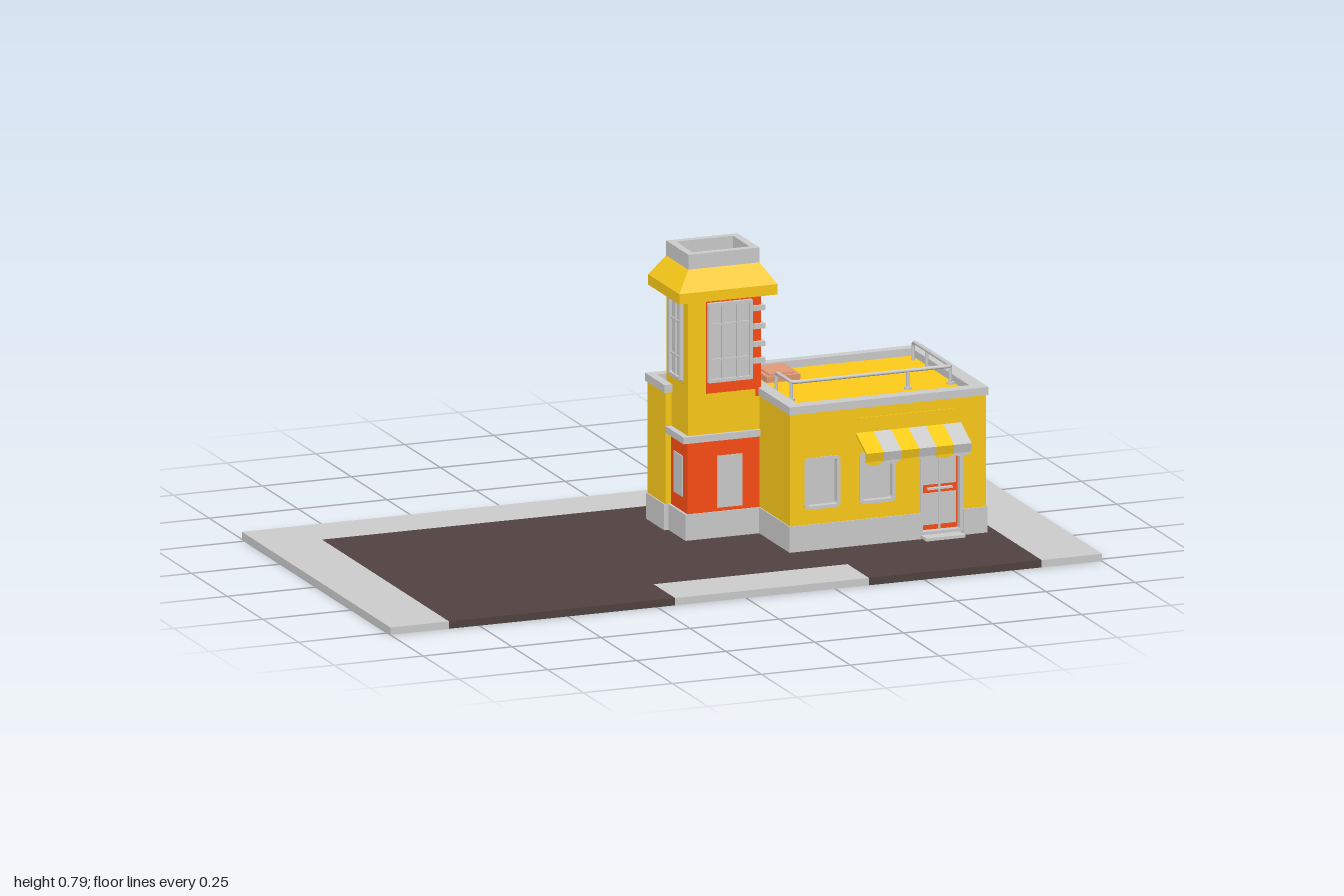
import * as THREE from 'three';

const mat = (color) => new THREE.MeshStandardMaterial({ color, side: THREE.DoubleSide });
const GREY = mat(0xcccccc), YELLOW = mat(0xfccb18), RED = mat(0xfc4d14), ASPHALT = mat(0x504240), PEACH = mat(0xe09a78);

export function createModel() {
  const model = new THREE.Group();

  const add = (name, geometry, material, parent = model) => {
    const mesh = new THREE.Mesh(geometry, material);
    mesh.name = name;
    parent.add(mesh);
    return mesh;
  };
  const group = (name) => {
    const g = new THREE.Group();
    g.name = name;
    model.add(g);
    return g;
  };
  // Box given by its limits on each axis
  const box = (name, x0, x1, y0, y1, z0, z1, material = GREY, parent = model) => {
    const g = new THREE.BoxGeometry(x1 - x0, y1 - y0, z1 - z0);
    g.translate((x0 + x1) / 2, (y0 + y1) / 2, (z0 + z1) / 2);
    return add(name, g, material, parent);
  };
  // Ground plan of [x, z] points raised from y0 to y1
  const plan = (name, points, y0, y1, material, hole) => {
    const flip = (list) => list.map(([x, z]) => new THREE.Vector2(x, -z));
    const shape = new THREE.Shape(flip(points));
    if (hole) shape.holes.push(new THREE.Path(flip(hole)));
    const g = new THREE.ExtrudeGeometry(shape, { depth: y1 - y0, bevelEnabled: false });
    g.rotateX(-Math.PI / 2).translate(0, y0, 0);
    return add(name, g, material);
  };
  // Rectangle outline with rounded corners
  const rounded = (target, x0, x1, y0, y1, r) => {
    target.moveTo(x0 + r, y0);
    target.lineTo(x1 - r, y0).quadraticCurveTo(x1, y0, x1, y0 + r);
    target.lineTo(x1, y1 - r).quadraticCurveTo(x1, y1, x1 - r, y1);
    target.lineTo(x0 + r, y1).quadraticCurveTo(x0, y1, x0, y1 - r);
    target.lineTo(x0, y0 + r).quadraticCurveTo(x0, y0, x0 + r, y0);
    return target;
  };
  const frame = (name, x0, x1, y0, y1, z0, depth, w, r, parent) => {
    const shape = rounded(new THREE.Shape(), x0, x1, y0, y1, r);
    shape.holes.push(rounded(new THREE.Path(), x0 + w, x1 - w, y0 + w, y1 - w, r * 0.6));
    const g = new THREE.ExtrudeGeometry(shape, { depth, bevelEnabled: false, curveSegments: 4 });
    return add(name, g.translate(0, 0, z0), GREY, parent);
  };

  // Ground: pavement, asphalt and front apron
  plan('pavement', [[-1, -0.52], [1, -0.52], [1, 0.52], [0.83, 0.52], [0.83, -0.37],
    [-0.835, -0.37], [-0.835, 0.52], [-1, 0.52]], 0, 0.02, GREY);
  const footprint = [[0.03, -0.253], [0.803, -0.253], [0.803, 0.208], [0.25, 0.208],
    [0.25, -0.005], [0.04, -0.005], [0.04, -0.125], [0.03, -0.125]];
  plan('asphalt', [[-0.835, -0.37], [0.83, -0.37], [0.83, 0.52], [0.345, 0.52], [0.345, 0.37],
    [-0.2, 0.37], [-0.2, 0.52], [-0.835, 0.52]], 0, 0.02, ASPHALT, footprint);
  box('apron', -0.2, 0.345, 0, 0.02, 0.37, 0.52);

  // Plinth, notched for the entrance
  plan('plinth', [[0.028, -0.253], [0.803, -0.253], [0.803, 0.208], [0.735, 0.208], [0.735, 0.18],
    [0.615, 0.18], [0.615, 0.208], [0.247, 0.208], [0.247, -0.005], [0.04, -0.005],
    [0.04, -0.125], [0.028, -0.125]], 0.001, 0.09, GREY);

  // Main walls and flat roof
  box('mainBody', 0.25, 0.8, 0, 0.393, -0.25, 0.185, YELLOW);
  box('sideBody', 0.032, 0.25, 0.02, 0.393, -0.25, -0.127, YELLOW);

  // Front wall with window openings and a doorway
  const windows = [0.29, 0.445];
  const wall = new THREE.Shape([[0.25, 0.09], [0.615, 0.09], [0.615, 0.265], [0.735, 0.265],
    [0.735, 0.09], [0.8, 0.09], [0.8, 0.393], [0.25, 0.393]].map(([x, y]) => new THREE.Vector2(x, y)));
  for (const x of windows) wall.holes.push(rounded(new THREE.Path(), x, x + 0.1, 0.13, 0.27, 0.012));
  add('frontWall', new THREE.ExtrudeGeometry(wall, { depth: 0.02, bevelEnabled: false, curveSegments: 4 })
    .translate(0, 0, 0.185), YELLOW);
  for (const x of windows) {
    const g = group('shopWindow');
    box('glass', x + 0.002, x + 0.098, 0.132, 0.268, 0.184, 0.19, GREY, g);
    frame('windowFrame', x, x + 0.1, 0.13, 0.27, 0.186, 0.021, 0.009, 0.012, g);
  }

  // Double door in its recess
  const door = group('entrance');
  box('doorLeaves', 0.615, 0.735, 0.03, 0.265, 0.178, 0.187, RED, door);
  frame('doorFrame', 0.615, 0.735, 0.03, 0.265, 0.183, 0.023, 0.008, 0.001, door);
  for (const x of [0.628, 0.678]) {
    box('upperGlass', x, x + 0.043, 0.16, 0.245, 0.186, 0.191, GREY, door);
    box('lowerGlass', x, x + 0.043, 0.052, 0.137, 0.186, 0.191, GREY, door);
  }
  box('doorSplit', 0.672, 0.677, 0.035, 0.26, 0.186, 0.193, GREY, door);
  box('doorHandle', 0.64, 0.71, 0.147, 0.152, 0.187, 0.198, GREY, door);
  box('doorStep', 0.62, 0.73, 0.01, 0.028, 0.18, 0.235, GREY, door);

  // Plain trim strip above the awning
  box('trimStrip', 0.44, 0.71, 0.358, 0.364, 0.2, 0.208, YELLOW);

  // Striped awning with a scalloped valance
  const awning = group('awning');
  const stripes = 6, width = 0.295 / stripes;
  const profile = new THREE.Shape([[0.203, 0.325], [0.28, 0.286], [0.274, 0.262], [0.269, 0.263],
    [0.273, 0.282], [0.203, 0.317]].map(([z, y]) => new THREE.Vector2(z, y)));
  for (let i = 0; i < stripes; i++) {
    const m = i % 2 ? GREY : YELLOW, x = 0.435 + i * width;
    add('awningStripe', new THREE.ExtrudeGeometry(profile, { depth: width, bevelEnabled: false })
      .rotateY(-Math.PI / 2).translate(x + width, 0, 0), m, awning);
    const scallop = new THREE.CylinderGeometry(width / 2, width / 2, 0.004, 16, 1, false, -Math.PI / 2, Math.PI);
    scallop.rotateX(Math.PI / 2).scale(1, 0.5, 1).translate(x + width / 2, 0.264, 0.272);
    add('scallop', scallop, m, awning);
  }

  // Parapet around the roof
  plan('parapet', [[0.027, -0.256], [0.805, -0.256], [0.805, 0.211], [0.246, 0.211], [0.246, -0.12], [0.027, -0.12]],
    0.392, 0.413, GREY,
    [[0.05, -0.228], [0.765, -0.228], [0.765, 0.175], [0.28, 0.175], [0.28, -0.15], [0.05, -0.15]]);

  // Roof hatch
  box('roofHatch', 0.31, 0.405, 0.39, 0.409, -0.225, -0.11, PEACH);
  box('hatchLid', 0.322, 0.393, 0.409, 0.413, -0.213, -0.122, PEACH);

  // Roof railing with bent ends and posts
  const rail = group('roofRailing');
  const path = new THREE.CurvePath();
  const corners = [[0.305, 0.393, -0.03], [0.305, 0.443, -0.03], [0.305, 0.443, 0.082],
    [0.752, 0.443, 0.082], [0.752, 0.443, -0.185], [0.752, 0.393, -0.185]].map((p) => new THREE.Vector3(...p));
  let last = corners[0];
  for (let i = 1; i < corners.length; i++) {
    const a = corners[i - 1], b = corners[i], c = corners[i + 1];
    const end = c ? b.clone().add(a.clone().sub(b).setLength(0.012)) : b;
    path.add(new THREE.LineCurve3(last, end));
    if (c) {
      last = b.clone().add(c.clone().sub(b).setLength(0.012));
      path.add(new THREE.QuadraticBezierCurve3(end, b, last));
    }
  }
  add('handrail', new THREE.TubeGeometry(path, 160, 0.005, 8), GREY, rail);
  for (const [x, z] of [[0.305, 0.075], [0.63, 0.082], [0.752, 0.075], [0.752, -0.09]]) {
    add('railPost', new THREE.CylinderGeometry(0.005, 0.005, 0.05, 8).translate(x, 0.418, z), GREY, rail);
    add('postFoot', new THREE.CylinderGeometry(0.01, 0.01, 0.006, 12).translate(x, 0.396, z), GREY, rail);
  }

  // Tower shaft with red cladding
  box('towerShaft', 0.05, 0.25, 0.02, 0.69, -0.165, -0.012, YELLOW);
  box('towerRedSide', 0.24, 0.253, 0.39, 0.67, -0.166, -0.009, RED);
  box('towerRedFront', 0.1, 0.253, 0.41, 0.67, -0.02, -0.009, RED);
  box('towerRedBase', 0.047, 0.25, 0.09, 0.28, -0.125, -0.009, RED);
  box('towerBand', 0.033, 0.252, 0.282, 0.3, -0.127, -0.002);
  box('serviceDoor', 0.13, 0.2, 0.1, 0.24, -0.02, -0.006);
  box('sidePanel', 0.044, 0.06, 0.13, 0.24, -0.1, -0.04);

  // Tower windows: front and left-hand flank
  const glazing = (name, w, columns) => {
    const g = group(name);
    box('panes', -w / 2, w / 2, 0.44, 0.655, -0.004, 0.002, GREY, g);
    frame('towerWindowFrame', -w / 2, w / 2, 0.44, 0.655, -0.004, 0.014, 0.009, 0.004, g);
    for (let i = 1; i < columns; i++) {
      const x = -w / 2 + (w * i) / columns;
      box('mullion', x - 0.003, x + 0.003, 0.44, 0.655, 0, 0.007, GREY, g);
    }
    for (const y of [0.5, 0.595]) box('glazingBar', -w / 2, w / 2, y - 0.003, y + 0.003, 0, 0.006, GREY, g);
    return g;
  };
  glazing('towerFrontWindow', 0.125, 3).position.set(0.165, 0, -0.009);
  const side = glazing('towerSideWindow', 0.085, 2);
  side.position.set(0.05, 0, -0.088);
  side.rotation.y = -Math.PI / 2;

  // Projecting blocks on the tower corner
  for (const y of [0.487, 0.532, 0.58, 0.629]) box('cornerBlock', 0.23, 0.263, y - 0.007, y + 0.007, -0.04, -0.001);

  // Flared tower roof: rectangular rings joined in a loop
  const rings = [[0.1, 0.078, 0.67], [0.138, 0.109, 0.667], [0.138, 0.109, 0.695], [0.1, 0.078, 0.75]];
  const pos = [];
  const corner = ([w, d, y], k) => [0.15 + (k === 1 || k === 2 ? w : -w), y, -0.088 + (k < 2 ? d : -d)];
  for (let i = 0; i < rings.length - 1; i++) {
    for (let k = 0; k < 4; k++) {
      const n = (k + 1) % 4;
      const a = corner(rings[i], k), b = corner(rings[i], n), c = corner(rings[i + 1], n), d = corner(rings[i + 1], k);
      pos.push(...a, ...b, ...c, ...a, ...c, ...d);
    }
  }
  const cap = new THREE.BufferGeometry();
  cap.setAttribute('position', new THREE.Float32BufferAttribute(pos, 3));
  cap.computeVertexNormals();
  add('towerRoof', cap, YELLOW);

  // Hollow collar on top
  plan('towerCollar', [[0.05, -0.166], [0.25, -0.166], [0.25, -0.01], [0.05, -0.01]], 0.745, 0.79, GREY,
    [[0.07, -0.146], [0.23, -0.146], [0.23, -0.03], [0.07, -0.03]]);
  box('collarFloor', 0.06, 0.24, 0.74, 0.755, -0.156, -0.02);

  return model;
}
